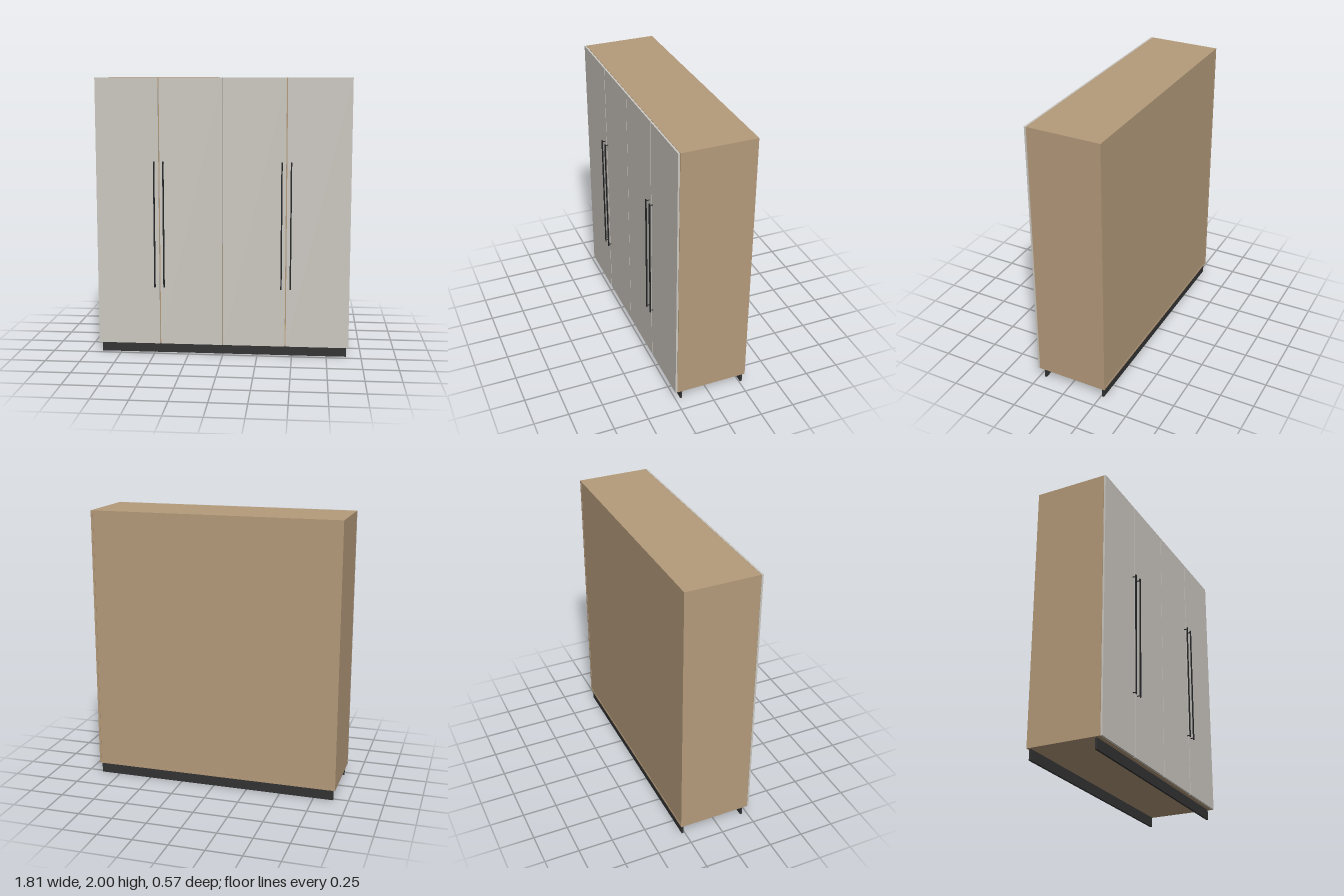
import * as THREE from 'three';

const mat = (color) => new THREE.MeshStandardMaterial({ color });

export function createModel() {
  const model = new THREE.Group();
  const wood = mat(0xb59b7b), doorMat = mat(0xcdc9c2);
  const plinthMat = mat(0x333333), metal = mat(0x222426);

  // Box given by its min and max corners
  function box(name, material, [x0, y0, z0], [x1, y1, z1], parent = model) {
    const mesh = new THREE.Mesh(new THREE.BoxGeometry(x1 - x0, y1 - y0, z1 - z0), material);
    mesh.position.set((x0 + x1) / 2, (y0 + y1) / 2, (z0 + z1) / 2);
    mesh.name = name;
    parent.add(mesh);
    return mesh;
  }

  const W = 0.907, bottom = 0.077, top = 2, back = -0.285, front = 0.242, t = 0.015;

  // Carcass panels, with the back panel set in slightly
  const carcass = new THREE.Group();
  carcass.name = 'carcass';
  model.add(carcass);
  box('rightSide', wood, [-W, bottom, back], [-W + t, top, front], carcass);
  box('leftSide', wood, [W - t, bottom, back], [W, top, front], carcass);
  box('topPanel', wood, [-W + t, top - t, back], [W - t, top, front], carcass);
  box('bottomPanel', wood, [-W + t, bottom, back], [W - t, bottom + t, front], carcass);
  box('backPanel', wood, [-W + t, bottom + t, back + 0.003], [W - t, top - t, back + 0.011], carcass);
  box('divider', wood, [-t / 2, bottom + t, back + 0.011], [t / 2, top - t, front], carcass);

  // Four doors with narrow gaps between them
  const pitch = W / 2;
  for (let i = 0; i < 4; i++) {
    const x = -W + i * pitch;
    const gapL = i === 0 ? 0 : i === 2 ? 0.002 : 0.004;
    const gapR = i === 3 ? 0 : i === 1 ? 0.002 : 0.004;
    box('door' + (i + 1), doorMat, [x + gapL, bottom, front + 0.002], [x + pitch - gapR, top, 0.257]);
  }

  // Long bar handles on two standoffs each
  for (const x of [-0.487, -0.421, 0.421, 0.487]) {
    const handle = new THREE.Group();
    handle.name = 'handle';
    model.add(handle);
    box('bar', metal, [x - 0.005, 0.503, 0.278], [x + 0.005, 1.413, 0.286], handle);
    for (const y of [0.516, 1.4]) {
      const post = new THREE.Mesh(new THREE.CylinderGeometry(0.0035, 0.0035, 0.023, 12), metal);
      post.rotation.x = Math.PI / 2;
      post.position.set(x, y, 0.2675);
      post.name = 'standoff';
      handle.add(post);
    }
  }

  // Plinth boards, front and back
  box('frontPlinth', plinthMat, [-0.892, 0, 0.199], [0.892, bottom - 0.002, 0.214]);
  box('backPlinth', plinthMat, [-0.892, 0, -0.273], [0.892, bottom - 0.002, -0.258]);

  return model;
}
